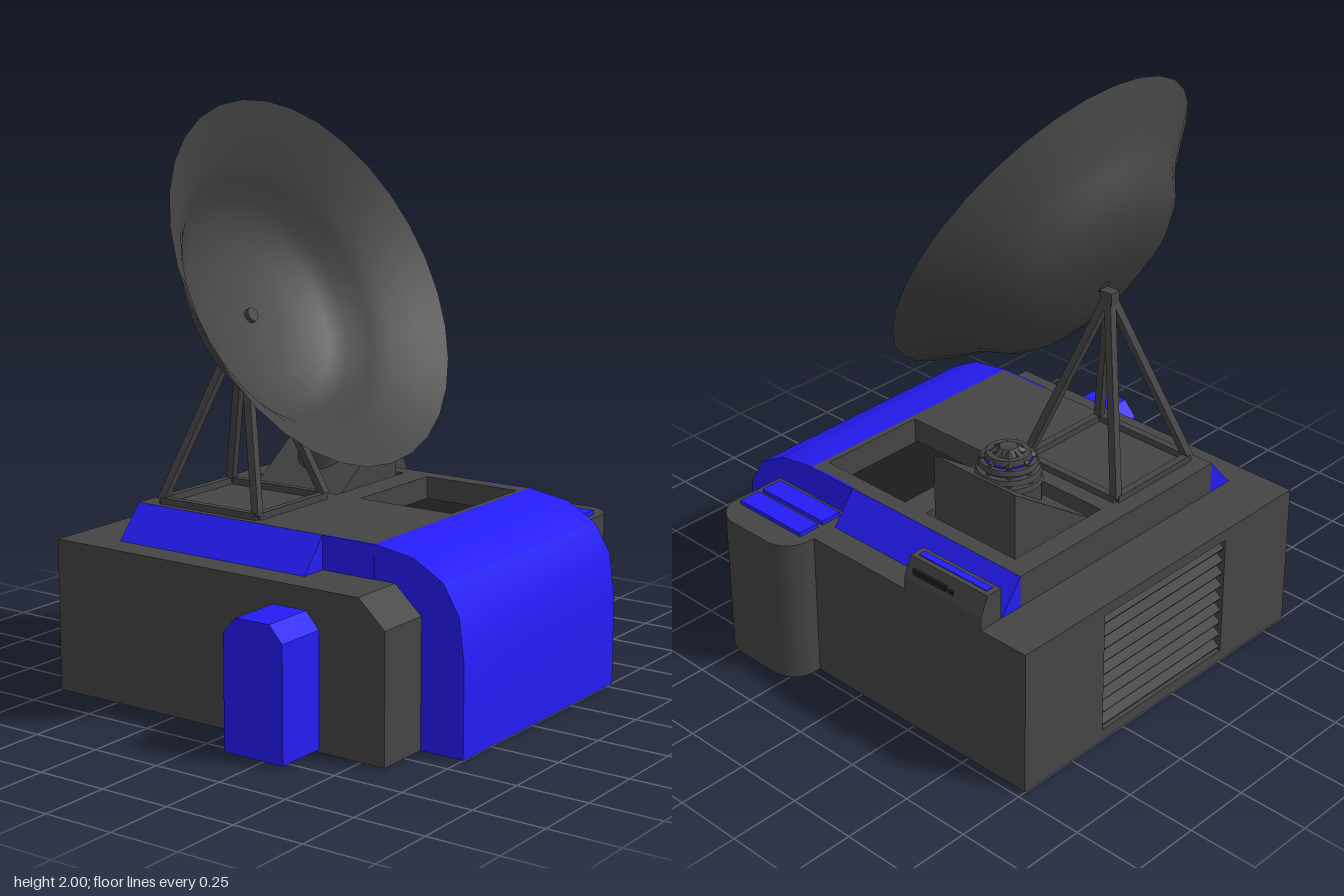
import * as THREE from 'three';
import { toCreasedNormals } from 'three/addons/utils/BufferGeometryUtils.js';

const material = (color) => new THREE.MeshStandardMaterial({ color, side: THREE.DoubleSide });

export function createModel() {
  const root = new THREE.Group();
  const grey = material(0x444444), dark = material(0x1c1c1c), blue = material(0x241cf5);

  const add = (name, geometry, mat, parent = root) => {
    const mesh = new THREE.Mesh(geometry, mat);
    mesh.name = name;
    parent.add(mesh);
    return mesh;
  };
  // box given by its limits on each axis
  const box = (name, mat, [x0, x1], [y0, y1], [z0, z1], parent) => {
    const m = add(name, new THREE.BoxGeometry(x1 - x0, y1 - y0, z1 - z0), mat, parent);
    m.position.set((x0 + x1) / 2, (y0 + y1) / 2, (z0 + z1) / 2);
    return m;
  };
  const shapeOf = (pts) => new THREE.Shape(pts.map(([a, b]) => new THREE.Vector2(a, b)));
  const rect = (x0, x1, y0, y1) => [[x0, y0], [x1, y0], [x1, y1], [x0, y1]];
  const extrude = (shape, depth) =>
    new THREE.ExtrudeGeometry(shape, { depth, bevelEnabled: false, curveSegments: 8 });
  // (z, y) profile swept from x0 to x1
  const sweepX = (name, mat, pts, x0, x1) => {
    const g = toCreasedNormals(extrude(shapeOf(pts), x1 - x0), 0.5).rotateY(-Math.PI / 2);
    add(name, g, mat).position.x = x1;
  };
  // (x, y) profile swept from z0 to z1
  const sweepZ = (name, mat, pts, z0, z1) => {
    add(name, extrude(shapeOf(pts), z1 - z0), mat).position.z = z0;
  };
  // (x, -z) plan raised from y0 to y1
  const raise = (name, mat, shape, y0, y1) => {
    const g = toCreasedNormals(extrude(shape, y1 - y0), 0.5).rotateX(-Math.PI / 2);
    add(name, g, mat).position.y = y0;
  };
  const bar = (name, a, b, size, parent) => {
    const p = new THREE.Vector3(...a), q = new THREE.Vector3(...b);
    const m = add(name, new THREE.BoxGeometry(size, p.distanceTo(q), size), grey, parent);
    m.position.copy(p).lerp(q, 0.5);
    m.quaternion.setFromUnitVectors(new THREE.Vector3(0, 1, 0), q.sub(p).normalize());
  };

  // lower hull
  box('hull', grey, [-0.61, 0.72], [0, 0.53], [-0.69, 0.21]);
  box('hullFront', grey, [-0.41, 0.54], [0, 0.53], [0.21, 0.41]);
  sweepX('rightFender', grey,
    [[0.21, 0], [0.59, 0], [0.59, 0.44], [0.49, 0.53], [0.21, 0.53]], -0.61, -0.41);

  // back wall with a louvred opening
  const wall = shapeOf(rect(-0.61, 0.72, 0, 0.53));
  wall.holes.push(new THREE.Path(shapeOf(rect(-0.26, 0.35, 0.04, 0.49)).getPoints()));
  add('backWall', extrude(wall, 0.06), grey).position.z = -0.75;
  box('louvreBack', dark, [-0.26, 0.35], [0.04, 0.49], [-0.7, -0.69]);
  for (let i = 0; i < 9; i++) {
    const slat = box('louvreSlat', dark, [-0.26, 0.35], [0, 0.012], [-0.745, -0.69]);
    slat.position.y = 0.065 + i * 0.05;
    slat.rotation.x = -0.6;
  }

  // curved front hood and its cheeks
  sweepX('frontHood', blue, [[0.41, 0], [0.75, 0], [0.75, 0.31], [0.73, 0.46], [0.67, 0.56],
    [0.56, 0.622], [0.41, 0.645]], -0.41, 0.54);
  for (const x of [-0.412, 0.532]) box('hoodCheek', blue, [x, x + 0.01], [0.53, 0.645], [0.21, 0.41]);

  // deck with two open wells
  const deck = shapeOf(rect(-0.41, 0.54, -0.41, 0.56));
  for (const [z0, z1] of [[-0.48, -0.08], [0.02, 0.39]])
    deck.holes.push(new THREE.Path(shapeOf(rect(0.07, 0.48, -z1, -z0)).getPoints()));
  raise('deck', grey, deck, 0.53, 0.645);
  box('frontWellFloor', dark, [0.07, 0.48], [0.53, 0.545], [0.02, 0.39]);
  box('rearWellFloor', dark, [0.07, 0.48], [0.53, 0.545], [-0.48, -0.08]);
  box('frontHatch', dark, [0.09, 0.45], [0.545, 0.575], [0.04, 0.36]);

  // sloped shoulders beside the deck
  sweepZ('leftShoulder', blue, [[0.54, 0.53], [0.625, 0.53], [0.54, 0.645]], -0.56, 0.21);
  sweepZ('rightShoulder', blue, [[-0.41, 0.53], [-0.41, 0.645], [-0.51, 0.53]], -0.56, 0.21);

  // side vent housing
  sweepZ('ventHousing', grey, [[0.63, 0.53], [0.72, 0.53], [0.72, 0.575], [0.69, 0.645],
    [0.63, 0.645]], -0.56, -0.22);
  box('ventInlay', blue, [0.645, 0.672], [0.64, 0.648], [-0.54, -0.24]);
  box('ventSlot', dark, [0.69, 0.712], [0.59, 0.615], [-0.4, -0.25]);
  box('ventCatch', dark, [0.69, 0.714], [0.597, 0.61], [-0.43, -0.41]);

  // rounded tank on the left front corner
  const r = 0.1, tank = new THREE.Shape();
  tank.moveTo(0.54, -0.58).lineTo(0.84 - r, -0.58);
  tank.absarc(0.84 - r, -0.58 + r, r, -Math.PI / 2, 0, false);
  tank.absarc(0.84 - r, -0.21 - r, r, 0, Math.PI / 2, false);
  tank.lineTo(0.54, -0.21);
  raise('cornerTank', grey, tank, 0, 0.53);
  for (const x of [0.565, 0.665]) box('tankPlate', blue, [x, x + 0.08], [0.53, 0.545], [0.25, 0.55]);

  // side pod on the right
  sweepX('sidePod', blue, [[0.11, 0.01], [0.34, 0.01], [0.34, 0.4], [0.29, 0.455],
    [0.16, 0.455], [0.11, 0.4]], -0.8, -0.61);

  // wedge mount in the rear well
  sweepZ('wedgeMount', grey, [[0.09, 0.54], [0.46, 0.54], [0.46, 0.865], [0.09, 0.61]], -0.46, -0.1);

  // slotted beacon
  const beacon = new THREE.Group();
  beacon.name = 'beacon';
  beacon.position.set(0.305, 0, -0.285);
  root.add(beacon);
  const drum = (name, mat, top, bottom, y0, y1) => {
    add(name, new THREE.CylinderGeometry(top, bottom, y1 - y0, 24), mat, beacon)
      .position.y = (y0 + y1) / 2;
  };
  drum('beaconBase', grey, 0.11, 0.11, 0.6, 0.79);
  drum('beaconCore', blue, 0.08, 0.09, 0.79, 0.872);
  for (const [radius, y] of [[0.115, 0.8], [0.111, 0.83], [0.1, 0.86], [0.078, 0.884]]) {
    const pts = [[radius - 0.025, -0.009], [radius, -0.009], [radius - 0.005, 0.009],
      [radius - 0.025, 0.009], [radius - 0.025, -0.009]].map((p) => new THREE.Vector2(...p));
    add('beaconRing', toCreasedNormals(new THREE.LatheGeometry(pts, 24), 0.6), grey, beacon)
      .position.y = y;
  }
  for (let i = 0; i < 8; i++) {
    const a = i * Math.PI / 4, c = Math.cos(a), s = Math.sin(a);
    bar('beaconRib', [0.1 * c, 0.79, 0.1 * s], [0.085 * c, 0.87, 0.085 * s], 0.014, beacon);
    bar('beaconRib', [0.085 * c, 0.872, 0.085 * s], [0.025 * c, 0.902, 0.025 * s], 0.014, beacon);
  }
  drum('beaconCap', grey, 0.03, 0.045, 0.885, 0.91);

  // four legged tower carrying the dish
  const tower = new THREE.Group();
  tower.name = 'dishTower';
  root.add(tower);
  const feet = [[-0.375, -0.08], [0, -0.08], [0, -0.485], [-0.375, -0.485]];
  feet.forEach(([x, z], i) => {
    const [nx, nz] = feet[(i + 1) % 4];
    bar('towerLeg', [x, 0.655, z], [-0.19, 1.27, -0.275], 0.028, tower);
    bar('towerFrame', [x, 0.655, z], [nx, 0.655, nz], 0.026, tower);
  });
  box('towerHead', grey, [-0.21, -0.17], [1.24, 1.285], [-0.3, -0.25], tower);

  // dish, tilted upwards
  const dish = new THREE.Group();
  dish.name = 'dishAssembly';
  dish.position.set(-0.197, 1.428, 0.03);
  dish.rotation.x = 1.088;
  root.add(dish);
  const profile = [[0, -0.31], [0.13, -0.306], [0.24, -0.294], [0.33, -0.265], [0.39, -0.226],
    [0.44, -0.165], [0.485, -0.122], [0.56, -0.064], [0.646, 0]];
  add('dish', new THREE.LatheGeometry(profile.map((p) => new THREE.Vector2(...p)), 32), grey, dish);
  add('dishHub', new THREE.CylinderGeometry(0.025, 0.025, 0.02, 12), grey, dish).position.y = -0.303;

  return root;
}
